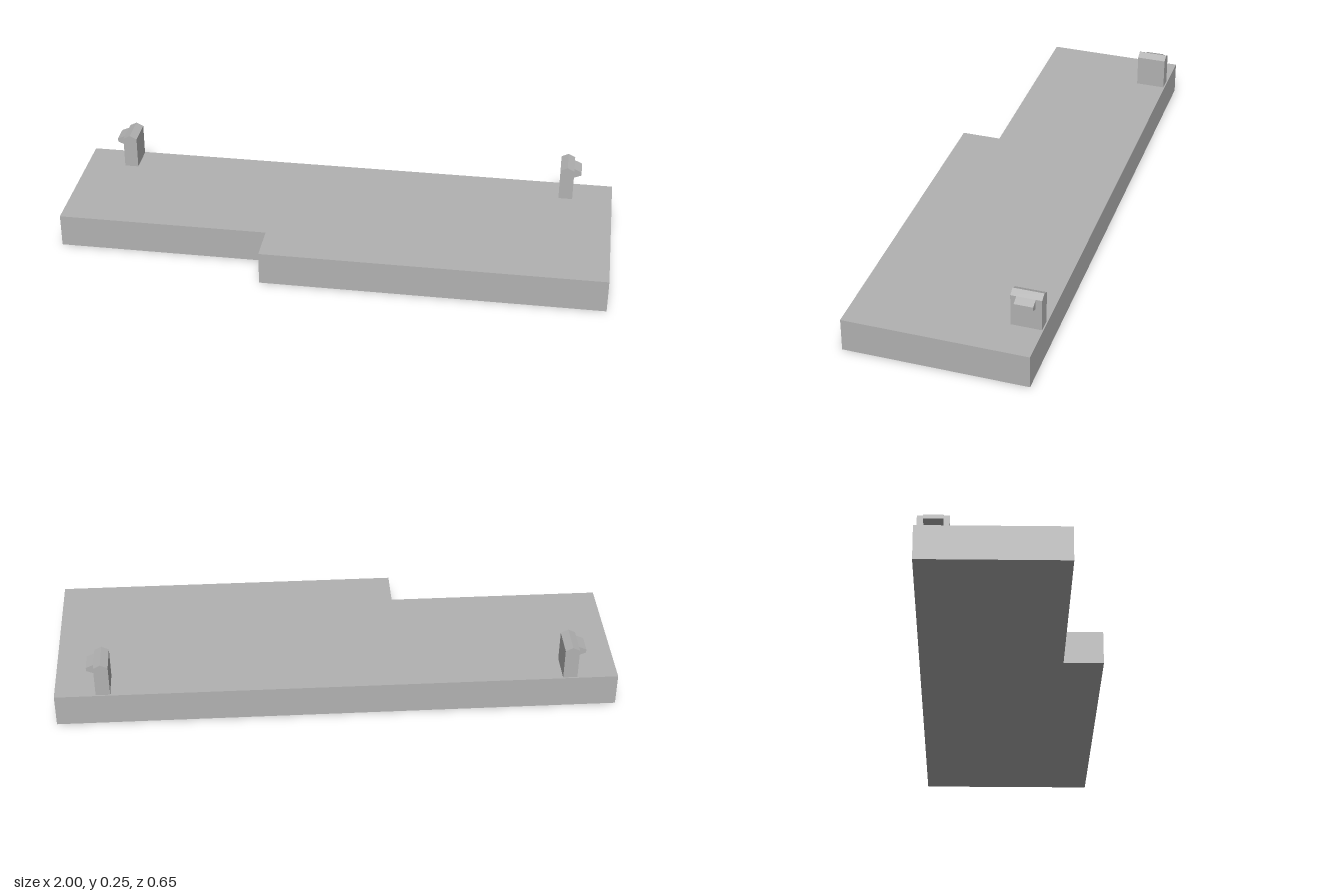
import * as THREE from 'three';

const grey = new THREE.MeshStandardMaterial({ color: 0xb2b2b2 });
grey.name = 'plain grey';

// Straight extrusion of a closed outline
function extrude(name, points, depth) {
  const shape = new THREE.Shape(points.map(([x, y]) => new THREE.Vector2(x, y)));
  const geometry = new THREE.ExtrudeGeometry(shape, { depth, bevelEnabled: false });
  const mesh = new THREE.Mesh(geometry, grey);
  mesh.name = name;
  return mesh;
}

// Upright post with a ridged top and a narrower hook on its outer side
function makeClip(side) {
  const clip = new THREE.Group();
  clip.name = side > 0 ? 'leftClip' : 'rightClip';
  const mirror = (points) => points.map(([x, y]) => [side * x, y]);

  const post = extrude('post', mirror([
    [0.803, 0.122], [0.854, 0.122], [0.854, 0.24], [0.829, 0.253], [0.803, 0.24],
  ]), 0.108);
  post.position.z = -0.321;

  const hook = extrude('hook', mirror([
    [0.854, 0.203], [0.881, 0.214], [0.881, 0.228], [0.854, 0.24],
  ]), 0.066);
  hook.position.z = -0.299;

  clip.add(post, hook);
  return clip;
}

export function createModel() {
  const model = new THREE.Group();
  model.name = 'clipPlate';

  // Stepped base plate, outlined in x and -z and laid flat
  const plate = extrude('basePlate', [
    [-1, -0.183], [-0.234, -0.183], [-0.234, -0.326], [1, -0.326], [1, 0.326], [-1, 0.326],
  ], 0.122);
  plate.rotation.x = -Math.PI / 2;

  model.add(plate, makeClip(1), makeClip(-1));
  return model;
}
